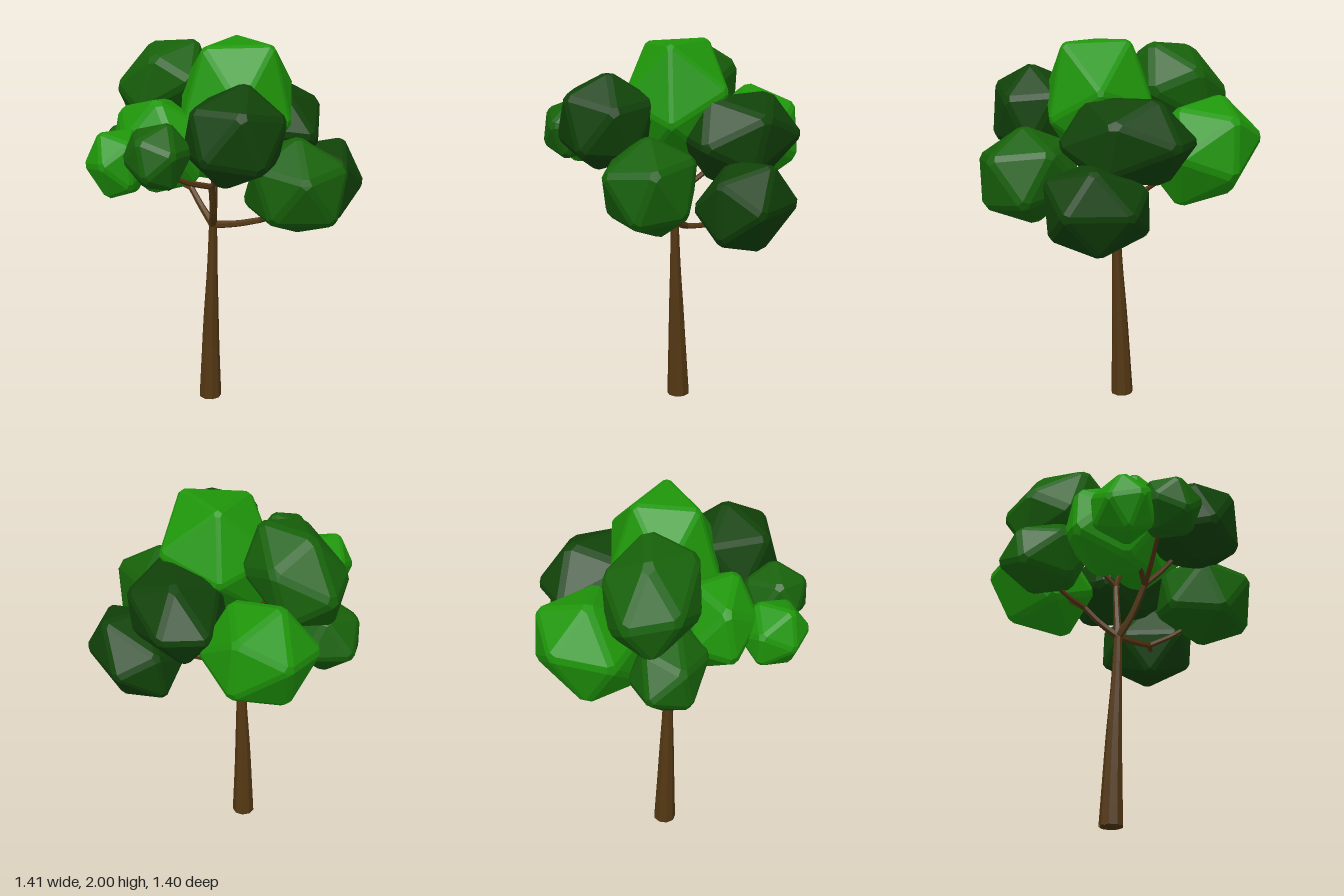
import * as THREE from 'three';
import { ConvexGeometry } from 'three/addons/geometries/ConvexGeometry.js';

const BARK = new THREE.MeshStandardMaterial({ color: 0x533713, flatShading: true });
const leaf = (color) => new THREE.MeshStandardMaterial({ color, flatShading: true });
const BRIGHT = leaf(0x1f960a), MID = leaf(0x17610a), DARK = leaf(0x114209);
const V = (p) => new THREE.Vector3(...p);

// Tapered tube through a few points, radii interpolated along its length
function limb(name, points, radii, sides = 6) {
  const curve = new THREE.CatmullRomCurve3(points.map(V));
  const rings = 10;
  const geo = new THREE.TubeGeometry(curve, rings, 1, sides, false);
  const pos = geo.attributes.position;
  const v = new THREE.Vector3();
  for (let i = 0; i < pos.count; i++) {
    const t = Math.floor(i / (sides + 1)) / rings;
    const s = t * (radii.length - 1), k = Math.min(Math.floor(s), radii.length - 2);
    const r = THREE.MathUtils.lerp(radii[k], radii[k + 1], s - k);
    const c = curve.getPointAt(t);
    v.fromBufferAttribute(pos, i).sub(c).multiplyScalar(r).add(c);
    pos.setXYZ(i, v.x, Math.max(v.y, 0), v.z);
  }
  geo.computeVertexNormals();
  const mesh = new THREE.Mesh(geo, BARK);
  mesh.name = name;
  return mesh;
}

// Repeatable noise in -1..1 from a corner position and a seed
function noise(p, seed) {
  const n = Math.sin(p.x * 12.99 + p.y * 78.23 + p.z * 37.72 + seed * 4.13) * 4375.85;
  return (n - Math.floor(n)) * 2 - 1;
}

// Faceted clump: an uneven icosahedron with bevelled edges, fitted to a box.
// lean slants it: x along z, x along y, z along y
function clump(name, min, max, material, seed, bevel, lean = [0, 0, 0],
  turn = [seed * 1.3, seed * 2.1, seed * 0.7]) {
  const ico = new THREE.IcosahedronGeometry(1, 0).attributes.position;
  const rotation = new THREE.Euler(...turn);
  const points = [];
  for (let f = 0; f < ico.count; f += 3) {
    const face = [0, 1, 2].map((k) => {
      const p = new THREE.Vector3().fromBufferAttribute(ico, f + k);
      const key = p.clone().multiplyScalar(100).round().divideScalar(100);
      p.x += 0.1 * noise(key, seed);
      p.y += 0.1 * noise(key, seed + 1);
      p.z += 0.1 * noise(key, seed + 2);
      p.normalize().applyEuler(rotation);
      p.x += lean[0] * p.z + lean[1] * p.y;
      p.z += lean[2] * p.y;
      return p;
    });
    const mid = face[0].clone().add(face[1]).add(face[2]).divideScalar(3);
    face.forEach((p) => points.push(p.clone().lerp(mid, bevel)));
  }
  const box = new THREE.Box3().setFromPoints(points);
  const size = box.getSize(new THREE.Vector3());
  const lo = V(min), span = V(max).sub(lo);
  points.forEach((p) => p.sub(box.min).divide(size).multiply(span).add(lo));
  const mesh = new THREE.Mesh(new ConvexGeometry(points), material);
  mesh.name = name;
  return mesh;
}

export function createModel() {
  const tree = new THREE.Group();
  tree.name = 'tree';

  // Trunk with a closed foot
  const crotch = [-0.09, 1.02, 0.05];
  tree.add(limb('trunk',
    [[-0.11, 0, 0.023], [-0.105, 0.4, 0.033], [-0.095, 0.78, 0.045], crotch],
    [0.062, 0.051, 0.041, 0.029, 0.022], 9));
  const foot = new THREE.Mesh(new THREE.CircleGeometry(0.061, 9), BARK);
  foot.name = 'trunkFoot';
  foot.rotation.x = Math.PI / 2;
  foot.position.set(-0.11, 0.001, 0.023);
  tree.add(foot);

  // Main branches: bend, fork, then twig ends inside the clumps
  const branches = new THREE.Group();
  branches.name = 'branches';
  const forks = [
    ['left', [0.04, 1.035, 0.08], [0.16, 1.06, 0.1],
      [[0.3, 1.22, 0.33], [0.36, 1.14, 0]]],
    ['back', [-0.15, 1.1, -0.03], [-0.2, 1.18, -0.09],
      [[-0.15, 1.4, -0.34], [-0.42, 1.3, -0.19]]],
    ['front', [-0.09, 1.12, 0.13], [-0.1, 1.28, 0.22],
      [[-0.34, 1.42, 0.44], [-0.46, 1.42, 0.34], [0, 1.5, 0.4]]],
    ['upper', [-0.085, 1.15, 0.04], [-0.08, 1.33, 0.03],
      [[-0.03, 1.55, 0.06], [-0.27, 1.6, -0.12], [0.14, 1.48, -0.08]]],
  ];
  for (const [name, bend, fork, tips] of forks) {
    branches.add(limb(name + 'Branch', [crotch, bend, fork], [0.022, 0.018, 0.016]));
    for (const tip of tips) {
      const mid = V(fork).lerp(V(tip), 0.5);
      mid.y -= 0.015;
      branches.add(limb(name + 'Twig', [fork, mid.toArray(), tip], [0.015, 0.011]));
    }
  }
  tree.add(branches);

  // Foliage clumps: lower corner, upper corner, shade, seed, bevel, lean, turn
  const foliage = new THREE.Group();
  foliage.name = 'foliage';
  const clumps = [
    ['crownClump', [-0.25, 1.38, -0.2], [0.32, 2.0, 0.39], BRIGHT, 1, 0.13,
      [0, 0.1, 0], [-0.6, -Math.PI / 2, 0.554]],
    ['backClump', [-0.42, 1.15, -0.7], [0.145, 1.71, -0.13], BRIGHT, 2, 0.2, [0, 0, -0.15]],
    ['upperRightClump', [-0.58, 1.49, -0.44], [-0.08, 1.97, 0.07], MID, 3, 0.25, [0.1, 0.25, 0.25]],
    ['lowerRightClump', [-0.66, 1.18, -0.38], [-0.24, 1.59, 0.03], MID, 4, 0.25, [0.25, 0.15, 0.15]],
    ['middleRightClump', [-0.6, 1.24, -0.05], [-0.13, 1.73, 0.39], BRIGHT, 5, 0.25, [0.35, 0, 0]],
    ['smallSideClump', [-0.71, 1.29, 0.2], [-0.4, 1.61, 0.52], BRIGHT, 6, 0.24],
    ['smallFrontClump', [-0.52, 1.36, 0.35], [-0.2, 1.68, 0.665], MID, 7, 0.27],
    ['frontClump', [-0.24, 1.36, 0.21], [0.245, 1.85, 0.7], DARK, 8, 0.22],
    ['frontLeftClump', [0.06, 1.08, 0.11], [0.55, 1.57, 0.63], MID, 9, 0.22, [0.12, 0, 0]],
    ['backLeftClump', [0.0, 1.3, -0.47], [0.485, 1.74, 0.16], DARK, 10, 0.22, [0.12, 0, 0]],
    ['farLeftClump', [0.22, 0.985, -0.32], [0.705, 1.44, 0.18], DARK, 11, 0.2, [0.15, 0.2, 0]],
  ];
  clumps.forEach((c) => foliage.add(clump(...c)));
  tree.add(foliage);
  return tree;
}
